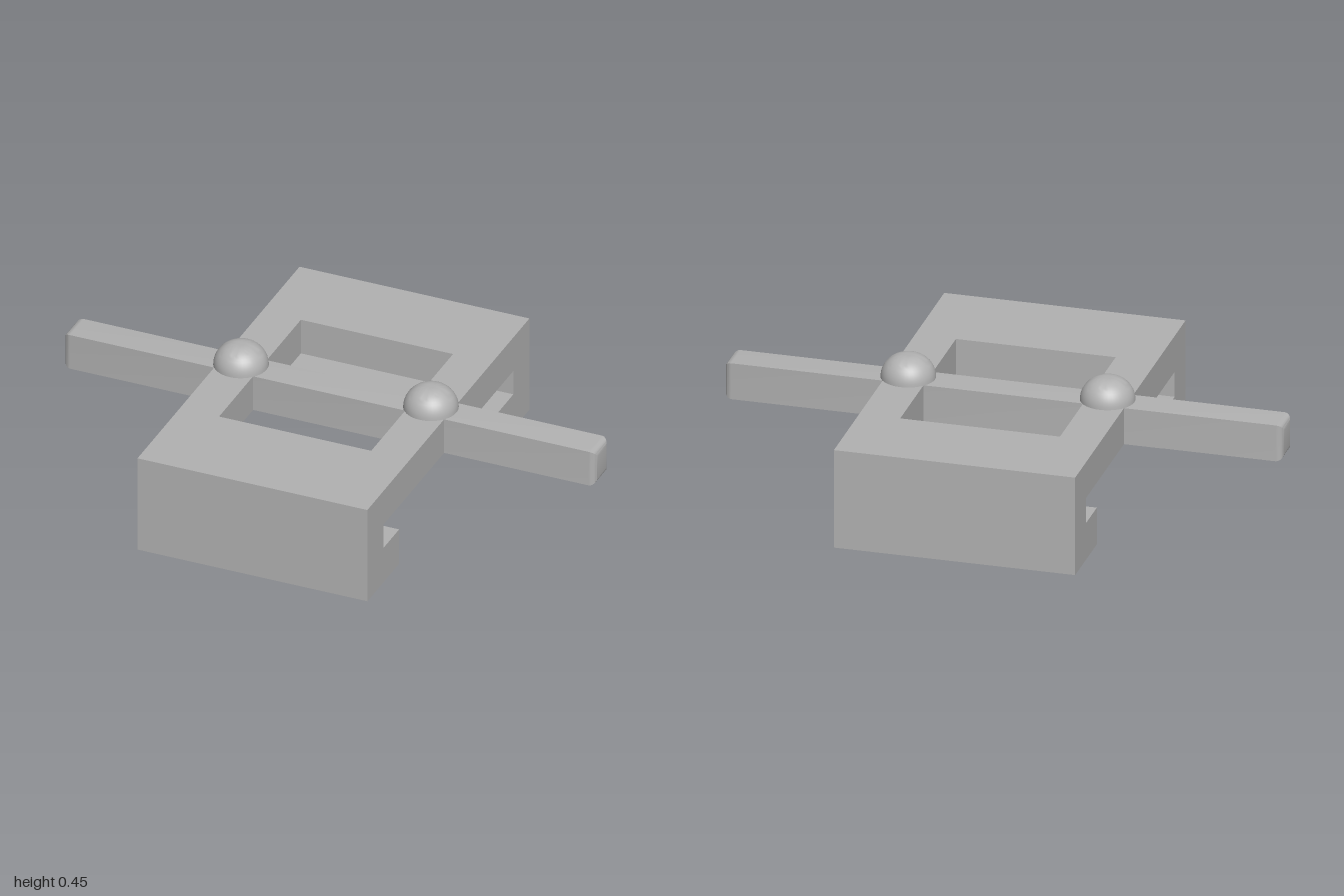
import * as THREE from 'three';
import { toCreasedNormals } from 'three/addons/utils/BufferGeometryUtils.js';

const HALF_X = 0.432, HALF_Z = 0.698, TOP = 0.367, UNDER = 0.232, BAR_Z = -0.022;

const grey = new THREE.MeshStandardMaterial({ color: 0xb2b2b2 });
grey.name = 'grey';

function add(parent, name, geometry) {
  const mesh = new THREE.Mesh(geometry, grey);
  mesh.name = name;
  parent.add(mesh);
  return mesh;
}

const polygon = (points) => new THREE.Shape(points.map(([x, y]) => new THREE.Vector2(x, y)));

// Flat plate with a rectangular window
function plateGeometry() {
  const rect = (x, y0, y1) => polygon([[-x, y0], [x, y0], [x, y1], [-x, y1]]);
  const shape = rect(HALF_X, -HALF_Z, HALF_Z);
  shape.holes.push(rect(0.286, -0.33, 0.375));
  const g = new THREE.ExtrudeGeometry(shape, { depth: TOP - UNDER, bevelEnabled: false });
  return g.rotateX(-Math.PI / 2).translate(0, UNDER, 0);
}

// End wall with an inward lip, drawn in (z, y) and extruded across the width
function hookGeometry() {
  const shape = polygon([
    [0.424, 0], [HALF_Z, 0], [HALF_Z, UNDER], [0.56, UNDER], [0.56, 0.138], [0.424, 0.138],
  ]);
  const g = new THREE.ExtrudeGeometry(shape, { depth: HALF_X * 2, bevelEnabled: false });
  return g.translate(0, 0, -HALF_X).rotateY(-Math.PI / 2);
}

// Long bar whose two ends are rounded over on all four edges
function barGeometry() {
  const n = 5, r = 0.025, height = TOP - UNDER, depth = 0.118;
  const segments = 2 * n + 1;
  const g = new THREE.BoxGeometry(segments, height, depth, segments, 1, 1);
  const p = g.attributes.position;
  for (let i = 0; i < p.count; i++) {
    const side = Math.sign(p.getX(i));
    const a = ((Math.abs(p.getX(i)) - 0.5) / n) * Math.PI / 2;
    const inset = r * (1 - Math.cos(a));
    p.setXYZ(i, side * (1 - r + r * Math.sin(a)),
      Math.sign(p.getY(i)) * (height / 2 - inset),
      Math.sign(p.getZ(i)) * (depth / 2 - inset));
  }
  return toCreasedNormals(g, 0.6).translate(0, (TOP + UNDER) / 2, BAR_Z);
}

// Button with a fully rounded edge and a small flat crown
function knobGeometry() {
  const flat = 0.013, r = 0.083;
  const profile = [new THREE.Vector2(0, 0)];
  for (let i = 0; i <= 12; i++) {
    const a = (i / 12) * Math.PI / 2;
    profile.push(new THREE.Vector2(flat + r * Math.cos(a), r * Math.sin(a)));
  }
  profile.push(new THREE.Vector2(0, r));
  return toCreasedNormals(new THREE.LatheGeometry(profile, 40), 0.6);
}

export function createModel() {
  const model = new THREE.Group();
  model.name = 'slidingBracket';

  const body = new THREE.Group();
  body.name = 'body';
  model.add(body);
  add(body, 'topPlate', plateGeometry());
  add(body, 'frontHook', hookGeometry());
  add(body, 'backHook', hookGeometry()).rotation.y = Math.PI;

  add(model, 'crossBar', barGeometry());

  for (const [name, side] of [['leftKnob', 1], ['rightKnob', -1]]) {
    add(model, name, knobGeometry()).position.set(side * 0.357, TOP, BAR_Z);
  }
  return model;
}
